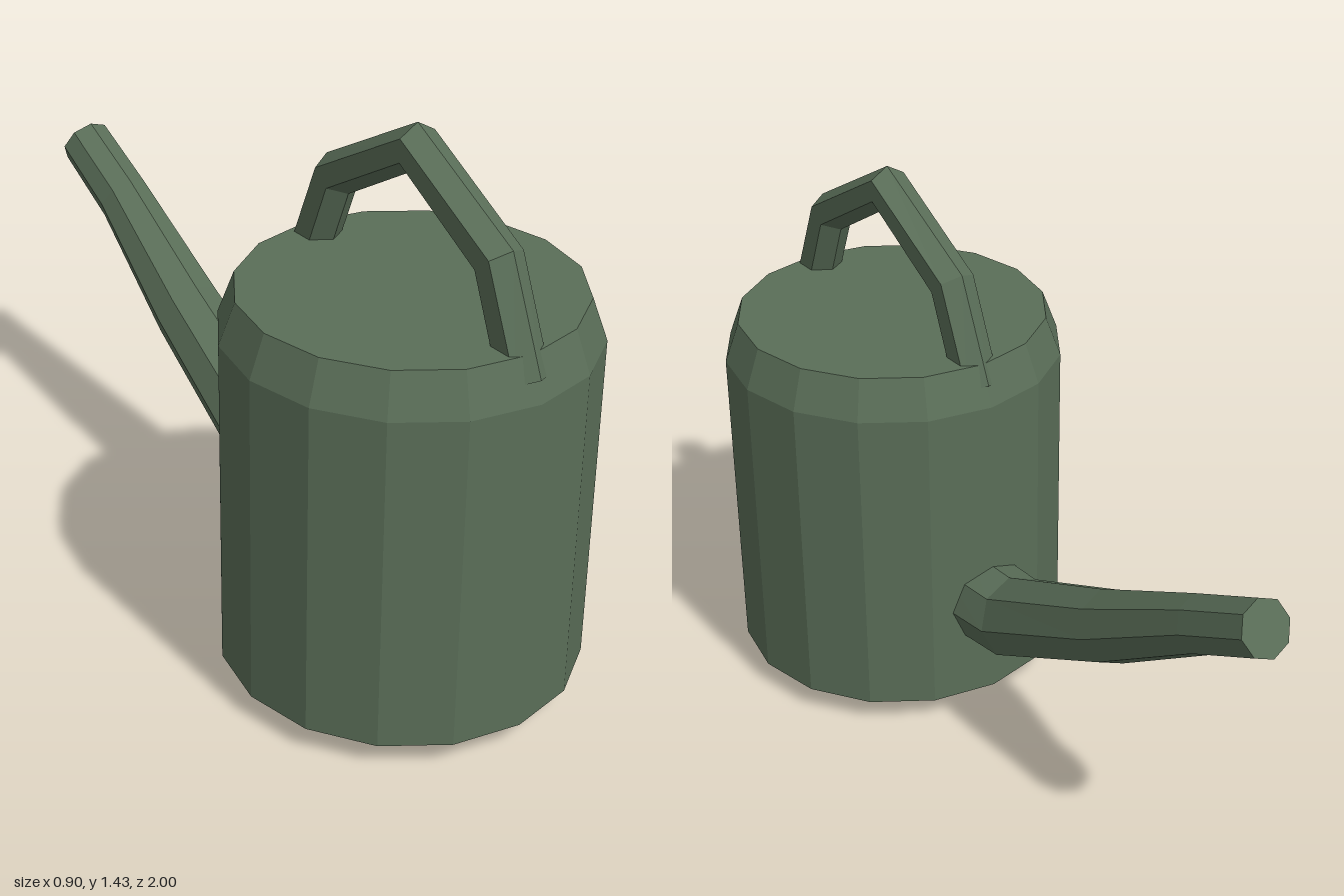
import * as THREE from 'three';

// Closed faceted tube through rings of [x, y, z, radius], bending in the y-z plane
function loft(rings, sides, turn) {
  const centres = rings.map(([x, y, z]) => new THREE.Vector3(x, y, z));
  const side = new THREE.Vector3(1, 0, 0);
  const positions = [], index = [];
  const last = rings.length - 1;

  centres.forEach((c, i) => {
    const tangent = new THREE.Vector3();
    if (i > 0) tangent.add(c.clone().sub(centres[i - 1]).normalize());
    if (i < last) tangent.add(centres[i + 1].clone().sub(c).normalize());
    const up = side.clone().cross(tangent).normalize();
    for (let j = 0; j < sides; j++) {
      const a = turn + (j / sides) * Math.PI * 2;
      const p = c.clone()
        .addScaledVector(side, Math.cos(a) * rings[i][3])
        .addScaledVector(up, Math.sin(a) * rings[i][3]);
      positions.push(p.x, p.y, p.z);
    }
  });

  for (let i = 0; i < last; i++) {
    for (let j = 0; j < sides; j++) {
      const a = i * sides + j, b = i * sides + ((j + 1) % sides);
      index.push(a, a + sides, b, b, a + sides, b + sides);
    }
  }
  // End caps
  const end = last * sides;
  for (let j = 1; j < sides - 1; j++) {
    index.push(0, j, j + 1, end, end + j + 1, end + j);
  }

  const geometry = new THREE.BufferGeometry();
  geometry.setAttribute('position', new THREE.Float32BufferAttribute(positions, 3));
  geometry.setIndex(index);
  const flat = geometry.toNonIndexed();
  flat.computeVertexNormals();
  return flat;
}

export function createModel() {
  const group = new THREE.Group();
  const green = new THREE.MeshStandardMaterial({ color: 0x5a6e58, flatShading: true });
  green.name = 'dull green';

  const add = (name, geometry) => {
    const mesh = new THREE.Mesh(geometry, green);
    mesh.name = name;
    group.add(mesh);
    return mesh;
  };

  // Sixteen-sided can with bevelled shoulder and foot
  const profile = [[0, 0], [0.345, 0], [0.449, 0.07], [0.449, 0.93], [0.41, 1.035], [0, 1.035]];
  const body = add('body', new THREE.LatheGeometry(
    profile.map(([r, y]) => new THREE.Vector2(r, y)), 16));
  body.position.z = 0.551;

  // Hexagonal arched handle, front to back
  const arch = [[0.386, 0.963], [0.285, 1.21], [0, 1.375], [-0.285, 1.21], [-0.386, 0.963]];
  add('handle', loft(arch.map(([z, y]) => [0, y, 0.554 + z, 0.057]), 6, Math.PI / 6));

  // Octagonal tapering spout that drifts slightly to one side
  add('spout', loft([
    [0, 0.332, 0.2, 0.117],
    [0, 0.348, 0, 0.112],
    [0.02, 0.56, -0.42, 0.096],
    [0.037, 0.762, -0.76, 0.074],
    [0.04, 0.865, -0.966, 0.071],
  ], 8, 0));

  return group;
}
